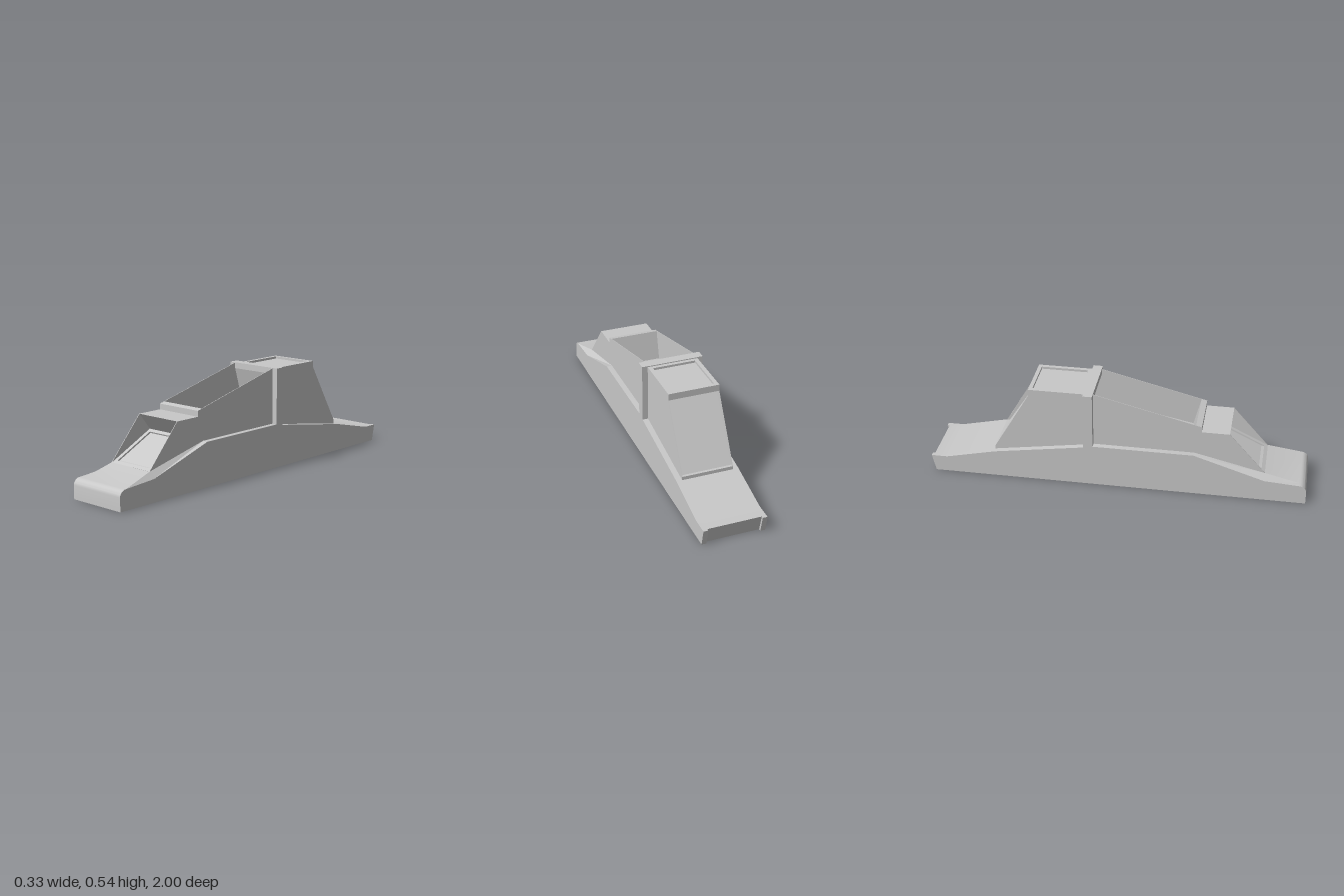
import * as THREE from 'three';
import { toCreasedNormals } from 'three/addons/utils/BufferGeometryUtils.js';

const HALF = 0.165;   // hull half width
const BODY = 0.135;   // upper body half width
const SKIN = 0.003;   // side wall thickness

// Extrudes a side profile of [z, y] points from x0 to x1.
function slab(profile, x0, x1) {
  const shape = new THREE.Shape(profile.map(([z, y]) => new THREE.Vector2(z, y)));
  const geo = new THREE.ExtrudeGeometry(shape, { depth: x1 - x0, bevelEnabled: false });
  return geo.rotateY(-Math.PI / 2).translate(x1, 0, 0);
}

// Flat rectangular rim with an open middle.
function rim(width, length, marginX, marginY, depth) {
  const rect = (Type, w, l) => new Type([[-w, -l], [w, -l], [w, l], [-w, l]]
    .map(([x, y]) => new THREE.Vector2(x / 2, y / 2)));
  const shape = rect(THREE.Shape, width, length);
  shape.holes.push(rect(THREE.Path, width - 2 * marginX, length - 2 * marginY));
  return new THREE.ExtrudeGeometry(shape, { depth, bevelEnabled: false });
}

// Lofts the hull through sections [z, inner y, outer y, z at the bottom].
function hullGeometry() {
  const sections = [];
  for (let i = 0; i <= 8; i++) {
    const a = (i / 8) * Math.PI / 2;
    const y = 0.07 + 0.035 * Math.sin(a);
    sections.push([0.96 + 0.04 * Math.cos(a), y, y]);
  }
  sections.push([0.78, 0.148, 0.117], [0.41, 0.235, 0.235], [-0.12, 0.235, 0.235],
    [-0.17, 0.225, 0.225], [-0.65, 0.15, 0.15], [-0.915, 0.09, 0.09], [-0.988, 0.09, 0.09, -0.966]);
  const pos = [], index = [], n = 6;
  for (const [z, yi, yo, zb = z] of sections) {
    pos.push(-HALF, 0, zb, HALF, 0, zb, HALF, yo, z, BODY, yi, z, -BODY, yi, z, -HALF, yo, z);
  }
  for (let s = 0; s < sections.length - 1; s++) {
    for (let j = 0; j < n; j++) {
      const a = s * n + j, a1 = s * n + (j + 1) % n;
      index.push(a, a + n, a1 + n, a, a1 + n, a1);
    }
  }
  const last = (sections.length - 1) * n;
  for (let j = 1; j < n - 1; j++) {
    index.push(0, j, j + 1, last, last + j + 1, last + j);
  }
  const geo = new THREE.BufferGeometry();
  geo.setAttribute('position', new THREE.Float32BufferAttribute(pos, 3));
  geo.setIndex(index);
  return toCreasedNormals(geo, 0.24);
}

export function createModel() {
  const model = new THREE.Group();
  const grey = new THREE.MeshStandardMaterial({ color: 0xc8c8c8 });
  grey.name = 'light grey';

  const add = (name, geo) => {
    const mesh = new THREE.Mesh(geo, grey);
    mesh.name = name;
    model.add(mesh);
    return mesh;
  };
  // The same profile on both sides.
  const pair = (name, profile, x0, x1) => {
    add(name + 'Left', slab(profile, x0, x1));
    add(name + 'Right', slab(profile, -x1, -x0));
  };

  add('hull', hullGeometry());
  pair('rearCheek', [[-0.988, 0.09], [-1, 0.09], [-0.98, 0], [-0.966, 0]], 0.14, HALF);

  // Front body: thin side walls around a core with a recessed front and a sunken tub
  const inner = BODY - SKIN;
  pair('frontWall', [[0.78, 0.148], [0.59, 0.363], [0.445, 0.363], [0.445, 0.393],
    [-0.12, 0.533], [-0.12, 0.05], [0.78, 0.05]], inner, BODY);
  add('frontCore', slab([[0.777, 0.141], [0.517, 0.268], [0.52, 0.275], [0.59, 0.363],
    [0.445, 0.363], [0.445, 0.393], [0.415, 0.4], [0.377, 0.247], [-0.166, 0.352],
    [-0.12, 0.505], [-0.12, 0.533], [-0.17, 0.533], [-0.17, 0.05], [0.777, 0.05]], -inner, inner));

  // Sloping front panel rim
  const slope = Math.atan2(0.127, 0.26);
  const panelRim = add('frontPanelRim', rim(2 * inner, 0.289, 0.02, 0.021, 0.008));
  panelRim.rotation.x = slope - Math.PI / 2;
  panelRim.position.set(0, 0.2045, 0.647);

  // Hoop between front body and cab
  pair('hoopPost', [[-0.12, 0.1], [-0.12, 0.535], [-0.17, 0.535], [-0.17, 0.1]], inner, HALF);
  add('hoopBeam', slab([[-0.12, 0.503], [-0.12, 0.535], [-0.171, 0.535], [-0.171, 0.503]], -inner, inner));

  // Rear cab: side walls, core with sunken rear pane, roof rim
  pair('cabWall', [[-0.17, 0.53], [-0.46, 0.53], [-0.46, 0.495], [-0.535, 0.367],
    [-0.652, 0.168], [-0.652, 0.05], [-0.17, 0.05]], inner, BODY);
  add('cabCore', slab([[-0.17, 0.518], [-0.46, 0.518], [-0.46, 0.495], [-0.435, 0.48],
    [-0.637, 0.168], [-0.652, 0.168], [-0.652, 0.05], [-0.17, 0.05]], -inner, inner));
  const roofRim = add('roofRim', rim(2 * inner, 0.289, 0.018, 0.02, 0.012));
  roofRim.rotation.x = -Math.PI / 2;
  roofRim.position.set(0, 0.518, -0.3155);

  return model;
}
